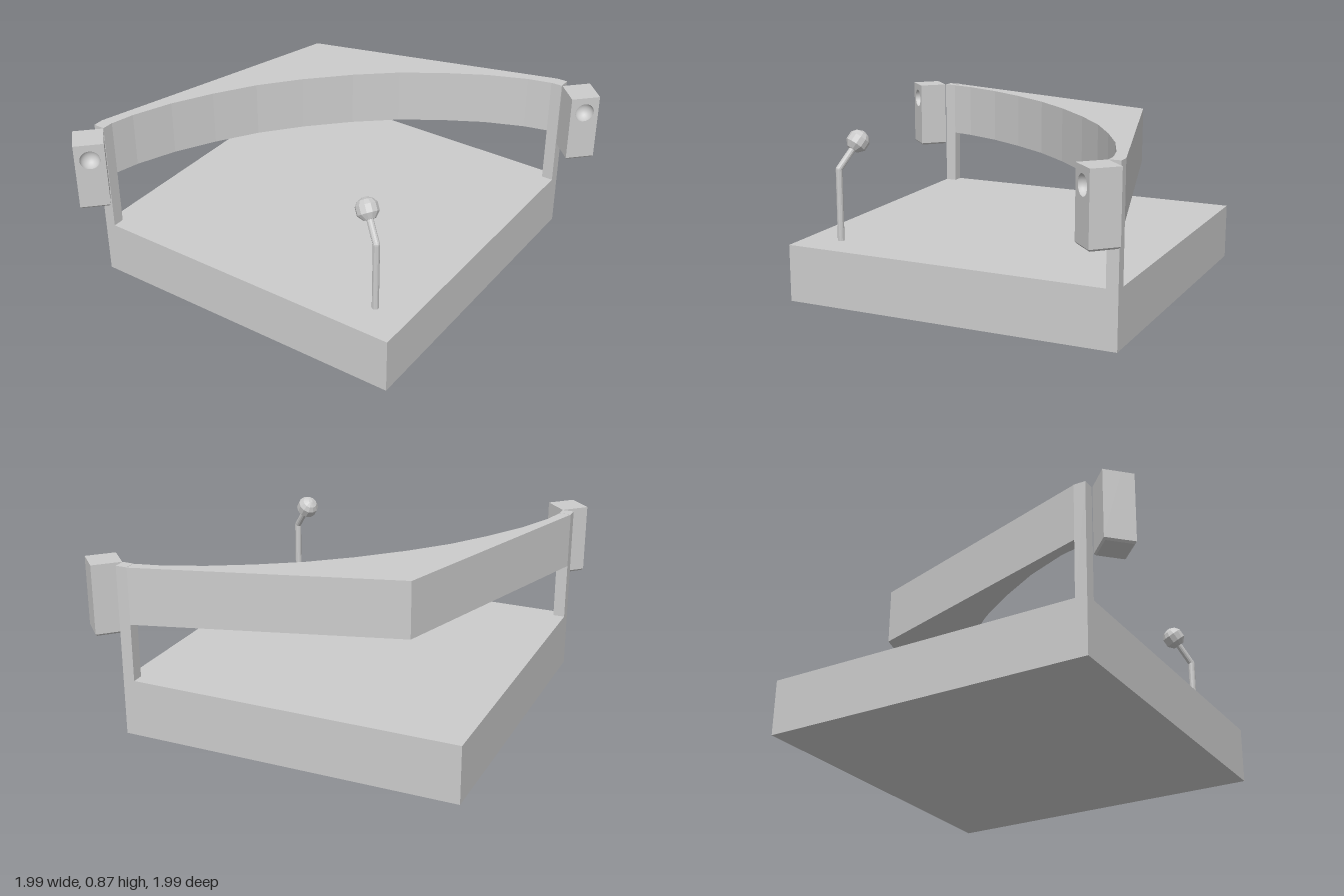
import * as THREE from 'three';

const material = new THREE.MeshStandardMaterial({ color: 0xcccccc, flatShading: true });
const hollow = new THREE.MeshStandardMaterial({ color: 0xcccccc, side: THREE.BackSide });

function part(name, geometry, x = 0, y = 0, z = 0, mat = material) {
  const mesh = new THREE.Mesh(geometry, mat);
  mesh.name = name;
  mesh.position.set(x, y, z);
  return mesh;
}

// Round bar between two points
function bar(name, a, b, radius) {
  const dir = b.clone().sub(a);
  const mesh = part(name, new THREE.CylinderGeometry(radius, radius, dir.length(), 12));
  mesh.position.copy(a).addScaledVector(dir, 0.5);
  mesh.quaternion.setFromUnitVectors(new THREE.Vector3(0, 1, 0), dir.normalize());
  return mesh;
}

// Speaker box with a round dimple in its front and a chamfered underside
function speaker(x, z) {
  const w = 0.15, bottom = 0.52, top = 0.87, panelDepth = 0.06, holeY = 0.785, holeR = 0.05;
  const group = new THREE.Group();
  group.name = 'speaker';

  const face = new THREE.Shape([
    new THREE.Vector2(-w / 2, bottom), new THREE.Vector2(w / 2, bottom),
    new THREE.Vector2(w / 2, top), new THREE.Vector2(-w / 2, top),
  ]);
  const hole = new THREE.Path();
  hole.absarc(0, holeY, holeR, 0, Math.PI * 2, true);
  face.holes.push(hole);
  const panel = new THREE.ExtrudeGeometry(face, { depth: panelDepth, bevelEnabled: false, curveSegments: 24 });
  group.add(part('speakerFront', panel, 0, 0, w / 2 - panelDepth));

  const rear = w - panelDepth;
  group.add(part('speakerCabinet', new THREE.BoxGeometry(w, top - bottom, rear), 0, (top + bottom) / 2, -w / 2 + rear / 2));

  const dimple = new THREE.SphereGeometry(holeR, 24, 8, 0, Math.PI * 2, 0, Math.PI / 2);
  dimple.rotateX(-Math.PI / 2);
  group.add(part('speakerDimple', dimple, 0, holeY, w / 2, hollow));

  const r = w / Math.SQRT2;
  const foot = new THREE.CylinderGeometry(r, r - 0.012, 0.01, 4);
  foot.rotateY(Math.PI / 4);
  group.add(part('speakerUnderside', foot, 0, bottom - 0.005, 0));

  group.position.set(x, 0, z);
  group.rotation.y = Math.PI / 4;
  return group;
}

export function createModel() {
  const model = new THREE.Group();
  model.name = 'stage';

  // Platform
  model.add(part('platform', new THREE.BoxGeometry(1.73, 0.29, 1.73), -0.085, 0.145, -0.085));

  // Corner posts and speakers
  for (const [sx, sz] of [[1, -1], [-1, 1]]) {
    const place = (s) => (s > 0 ? 0.75 : -0.92);
    model.add(part('post', new THREE.BoxGeometry(0.06, 0.58, 0.06), place(sx), 0.58, place(sz)));
    model.add(speaker(sx * 0.89, sz * 0.89));
  }

  // Overhead fascia: curved inside, pointed outside, mirrored about the diagonal
  const half = [[0.72, -0.89], [0.6, -0.86], [0.4, -0.78], [0.2, -0.67], [0, -0.54], [-0.19, -0.38]];
  const curve = [...half, ...half.map(([x, z]) => [z, x]).reverse()];
  const outline = [...curve, [-0.95, 0.72], [-0.56, -0.58], [0.72, -0.95]];
  const fascia = new THREE.ExtrudeGeometry(
    new THREE.Shape(outline.map(([x, z]) => new THREE.Vector2(x, -z))),
    { depth: 0.287, bevelEnabled: false },
  );
  fascia.rotateX(-Math.PI / 2);
  model.add(part('fascia', fascia, 0, 0.582, 0));

  // Microphone on a bent stand
  const mic = new THREE.Group();
  mic.name = 'microphone';
  const foot = new THREE.Vector3(0.595, 0.28, 0.595);
  const elbow = new THREE.Vector3(0.595, 0.655, 0.595);
  const centre = new THREE.Vector3(0.505, 0.785, 0.537);
  mic.add(bar('micStand', foot, elbow, 0.017));
  mic.add(bar('micArm', elbow, centre, 0.017));
  mic.add(part('micElbow', new THREE.SphereGeometry(0.017, 12, 8), elbow.x, elbow.y, elbow.z));
  const profile = [[0, -0.05], [0.03, -0.05], [0.055, -0.022], [0.055, 0.02], [0.038, 0.043], [0.012, 0.055], [0, 0.055]];
  const head = part('micHead', new THREE.LatheGeometry(profile.map(([r, y]) => new THREE.Vector2(r, y)), 12));
  head.position.copy(centre);
  head.quaternion.setFromUnitVectors(new THREE.Vector3(0, 1, 0), centre.clone().sub(elbow).normalize());
  mic.add(head);
  model.add(mic);

  return model;
}
